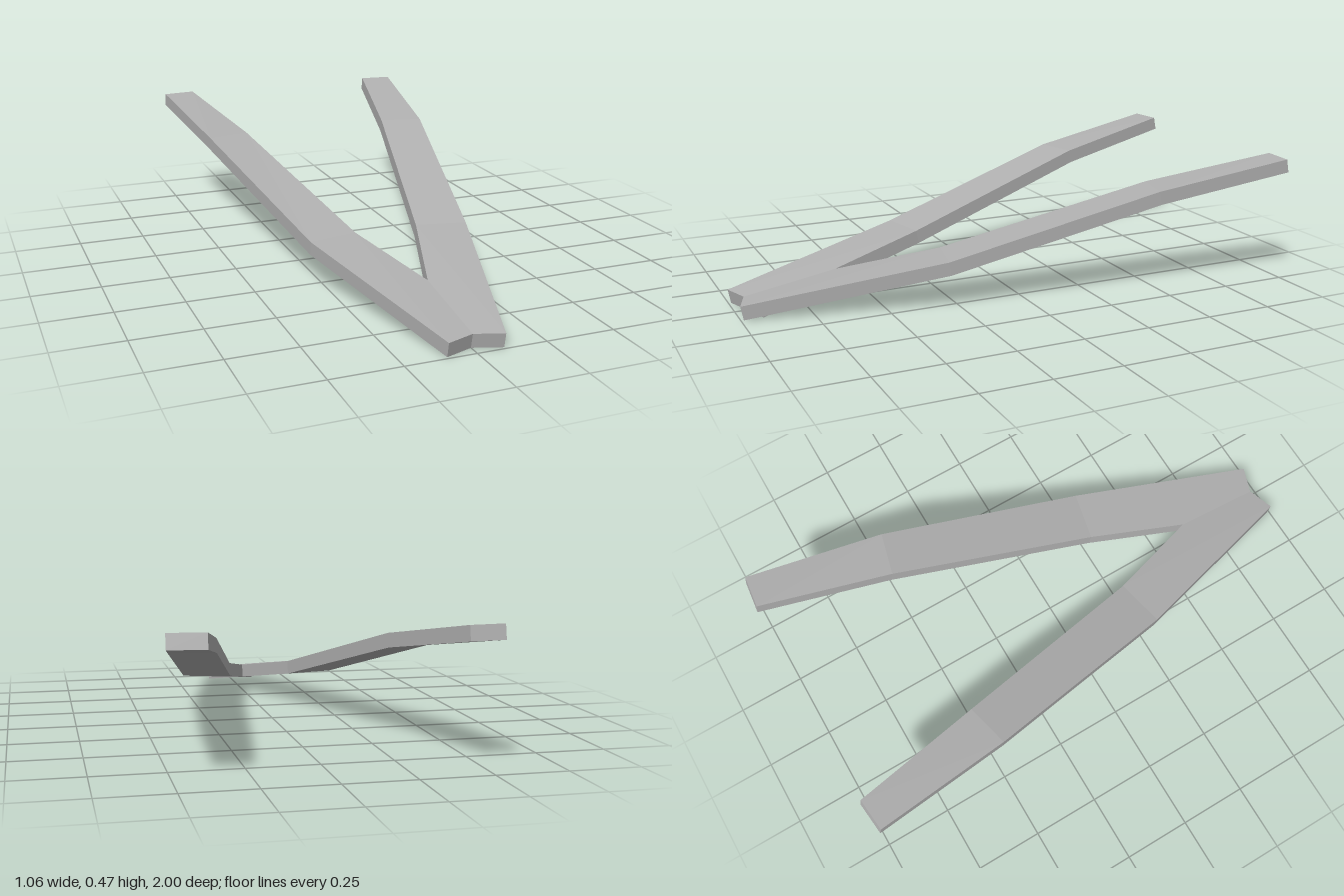
import * as THREE from 'three';

// Stations along one arm's top face: outer x, outer z, inner x, inner z, height
const STATIONS = [
  [0.10, 1.0, -0.10, 0.93, 0.052],
  [0.305, 0.30, 0.12, 0.26, 0.178],
  [0.462, -0.465, 0.30, -0.505, 0.39],
  [0.528, -0.977, 0.405, -0.99, 0.475],
];
const DROP = 0.05; // beam thickness
const LEAN = 0.01; // underside sits slightly further back

function armGeometry(side) {
  const rings = STATIONS.map(([ox, oz, ix, iz, y], i) => {
    const b = i === 0 ? 0 : y - DROP;
    return [
      [side * ox, y, oz], [side * ix, y, iz],
      [side * ix, b, iz - LEAN], [side * ox, b, oz - LEAN],
    ];
  });
  const positions = [];
  const quad = (a, b, c, d) => {
    const corners = side > 0 ? [a, b, c, a, c, d] : [a, c, b, a, d, c];
    corners.forEach((p) => positions.push(...p));
  };
  // Four long faces between neighbouring stations
  for (let i = 0; i < rings.length - 1; i++) {
    for (let j = 0; j < 4; j++) {
      const k = (j + 1) % 4;
      quad(rings[i][j], rings[i + 1][j], rings[i + 1][k], rings[i][k]);
    }
  }
  // End caps
  quad(...rings[0]);
  quad(...[...rings[rings.length - 1]].reverse());

  const geometry = new THREE.BufferGeometry();
  geometry.setAttribute('position', new THREE.Float32BufferAttribute(positions, 3));
  geometry.computeVertexNormals();
  return geometry;
}

export function createModel() {
  const group = new THREE.Group();
  group.name = 'vShapedFrame';
  const grey = new THREE.MeshStandardMaterial({ color: 0xb0b0b0 });
  grey.name = 'grey';

  // Two mirrored arms crossing at the front tip
  for (const [name, side] of [['leftArm', 1], ['rightArm', -1]]) {
    const arm = new THREE.Mesh(armGeometry(side), grey);
    arm.name = name;
    group.add(arm);
  }
  return group;
}
